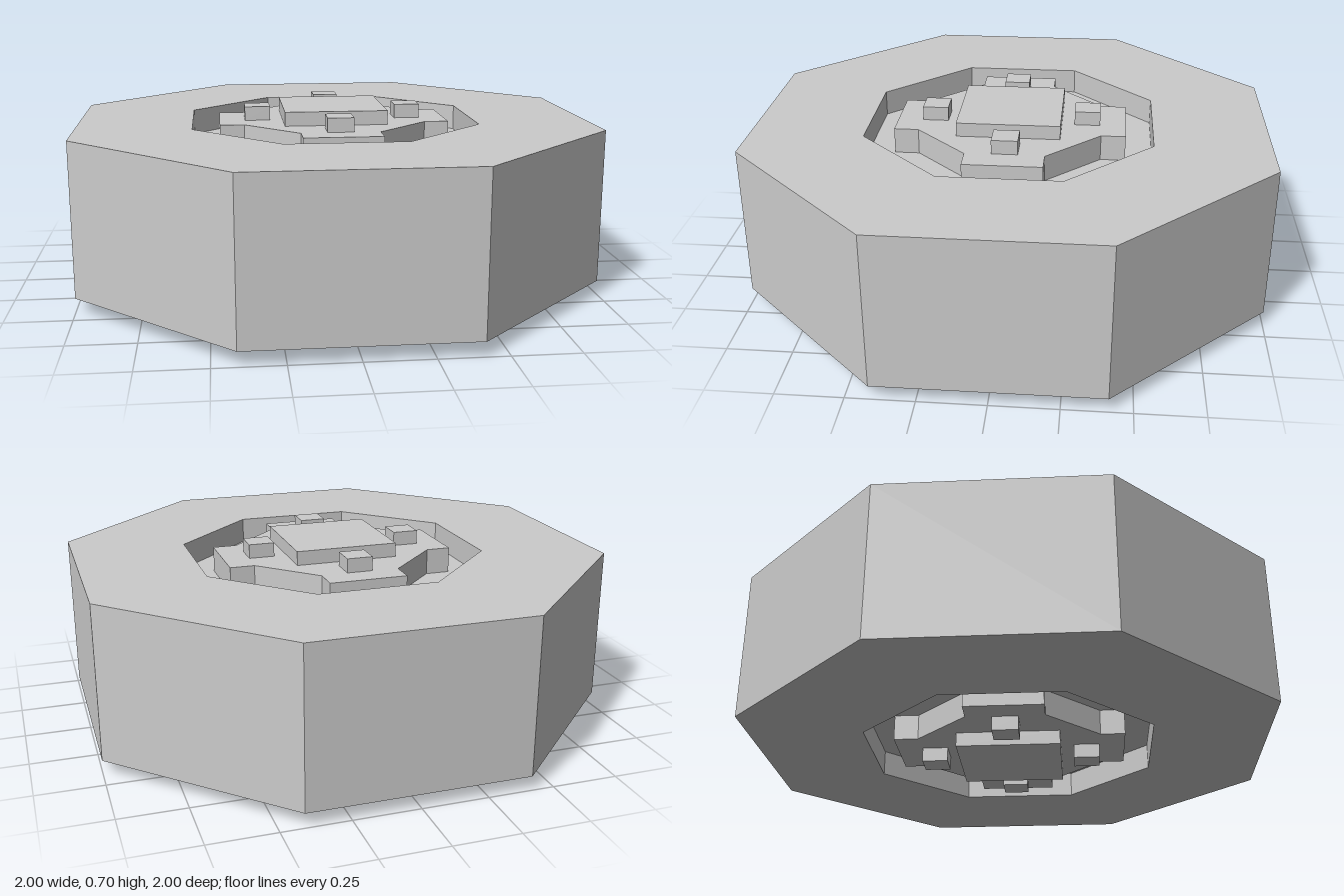
import * as THREE from 'three';

const HEIGHT = 0.705, MID = HEIGHT / 2;
const FACE = 0.298;   // half thickness of the wheel body
const DEPTH = 0.1;    // recess depth on each face
const RAISE = MID - FACE; // how far the cap and bolts stand proud

const material = new THREE.MeshStandardMaterial({ color: 0xcccccc, flatShading: true });

function part(name, geometry, x = 0, y = 0, z = 0) {
  const mesh = new THREE.Mesh(geometry, material);
  mesh.name = name;
  mesh.position.set(x, y, z);
  return mesh;
}

// Octagonal wheel body with a shallow recess in both faces
function wheelBody() {
  const corner = 1 / Math.cos(Math.PI / 8);
  const outer = corner, inner = 0.555 * corner, floor = FACE - DEPTH;
  const profile = [
    [0, -floor], [inner, -floor], [inner, -FACE], [outer, -FACE],
    [outer, FACE], [inner, FACE], [inner, floor], [0, floor],
  ].map(([r, y]) => new THREE.Vector2(r, y));
  return new THREE.LatheGeometry(profile, 8, Math.PI / 8);
}

// Four-armed hub plate, one quarter outline repeated around the axis
function hubPlateGeometry() {
  const quarter = [[0.45, -0.15], [0.45, 0.15], [0.355, 0.15], [0.15, 0.355]];
  const points = [];
  for (let i = 0; i < 4; i++) {
    // the last point of each quarter leads into the next arm
    for (const [x, y] of quarter) {
      points.push(new THREE.Vector2(x, y).rotateAround(new THREE.Vector2(), i * Math.PI / 2));
    }
  }
  const geometry = new THREE.ExtrudeGeometry(new THREE.Shape(points), { depth: DEPTH, bevelEnabled: false });
  return geometry.rotateX(-Math.PI / 2);
}

// Hub plate, square cap and four bolts for one face
function hub(name) {
  const group = new THREE.Group();
  group.name = name;
  group.add(part('hubPlate', hubPlateGeometry(), 0, FACE - DEPTH, 0));
  const y = FACE + RAISE / 2;
  group.add(part('hubCap', new THREE.BoxGeometry(0.4, RAISE, 0.4), 0, y, 0));
  for (let i = 0; i < 4; i++) {
    const a = i * Math.PI / 2;
    group.add(part('bolt', new THREE.BoxGeometry(0.1, RAISE, 0.1), 0.3 * Math.cos(a), y, 0.3 * Math.sin(a)));
  }
  return group;
}

export function createModel() {
  const model = new THREE.Group();
  model.name = 'octagonalWheel';
  const wheel = new THREE.Group();
  wheel.name = 'wheel';
  wheel.position.y = MID;
  const lowerHub = hub('lowerHub');
  lowerHub.rotation.x = Math.PI;
  wheel.add(part('wheelBody', wheelBody()), hub('upperHub'), lowerHub);
  model.add(wheel);
  return model;
}
